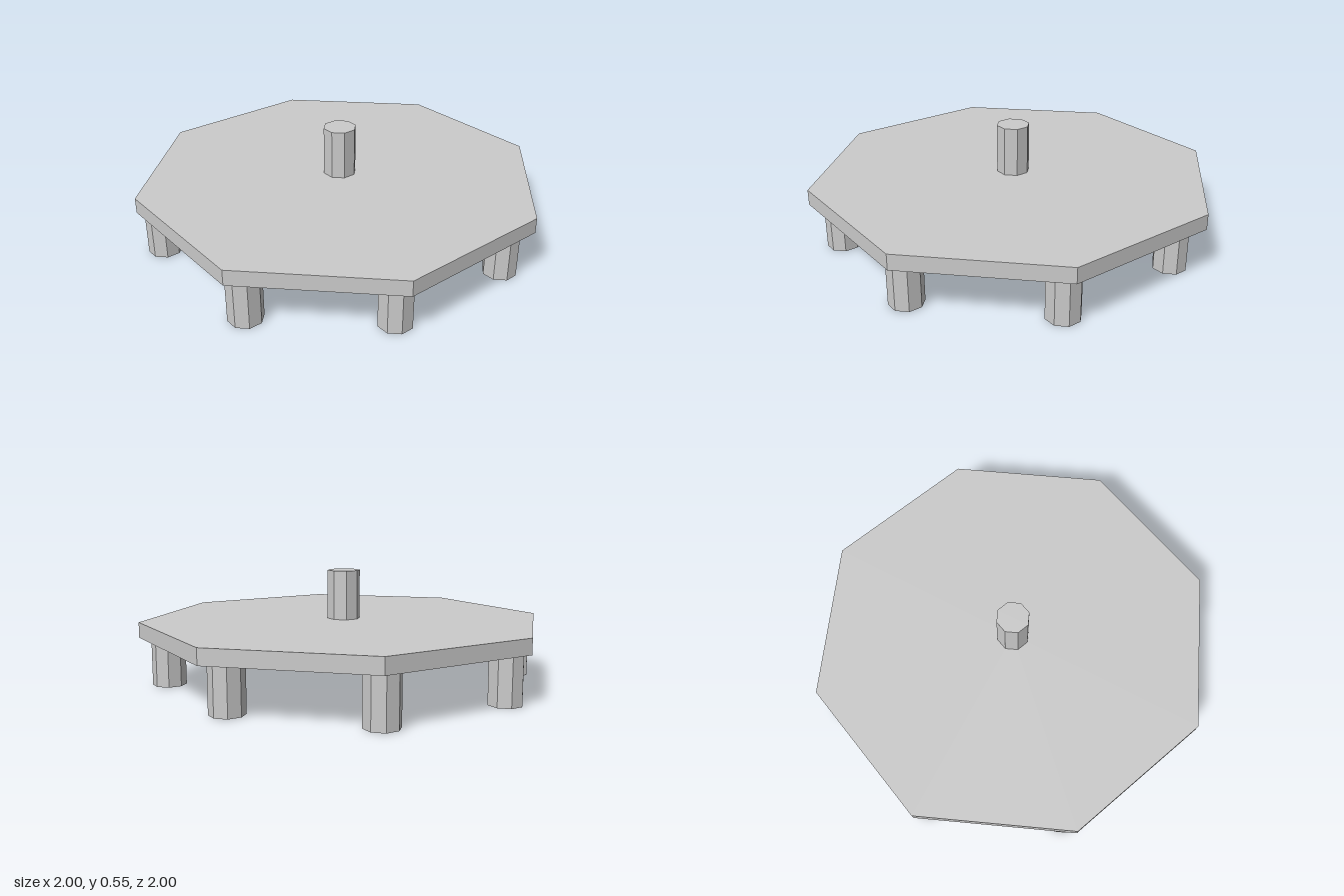
import * as THREE from 'three';

const SIDES = 8;
const PLATE_BOTTOM = 0.235, PLATE_TOP = 0.31, POST_TOP = 0.55, POST_RADIUS = 0.081;

// Hand-placed leg centres [x, z], slightly uneven around the rim
const LEGS = [
  [0.86, 0.025], [0.615, -0.605], [-0.005, -0.84], [-0.64, -0.62],
  [-0.882, 0], [-0.64, 0.61], [0.015, 0.88], [0.595, 0.61],
];

export function createModel() {
  const model = new THREE.Group();
  const material = new THREE.MeshStandardMaterial({ color: 0xcccccc, flatShading: true });

  // Eight-sided prism standing between two heights
  const prism = (name, radius, y0, y1, x = 0, z = 0) => {
    const mesh = new THREE.Mesh(new THREE.CylinderGeometry(radius, radius, y1 - y0, SIDES), material);
    mesh.name = name;
    mesh.position.set(x, (y0 + y1) / 2, z);
    model.add(mesh);
  };

  // Octagonal top with a central post
  prism('plate', 1, PLATE_BOTTOM, PLATE_TOP);
  prism('centrePost', POST_RADIUS, PLATE_TOP, POST_TOP);

  // Ring of short legs
  LEGS.forEach(([x, z], i) => prism(`leg${i + 1}`, POST_RADIUS, 0, PLATE_BOTTOM, x, z));

  return model;
}
